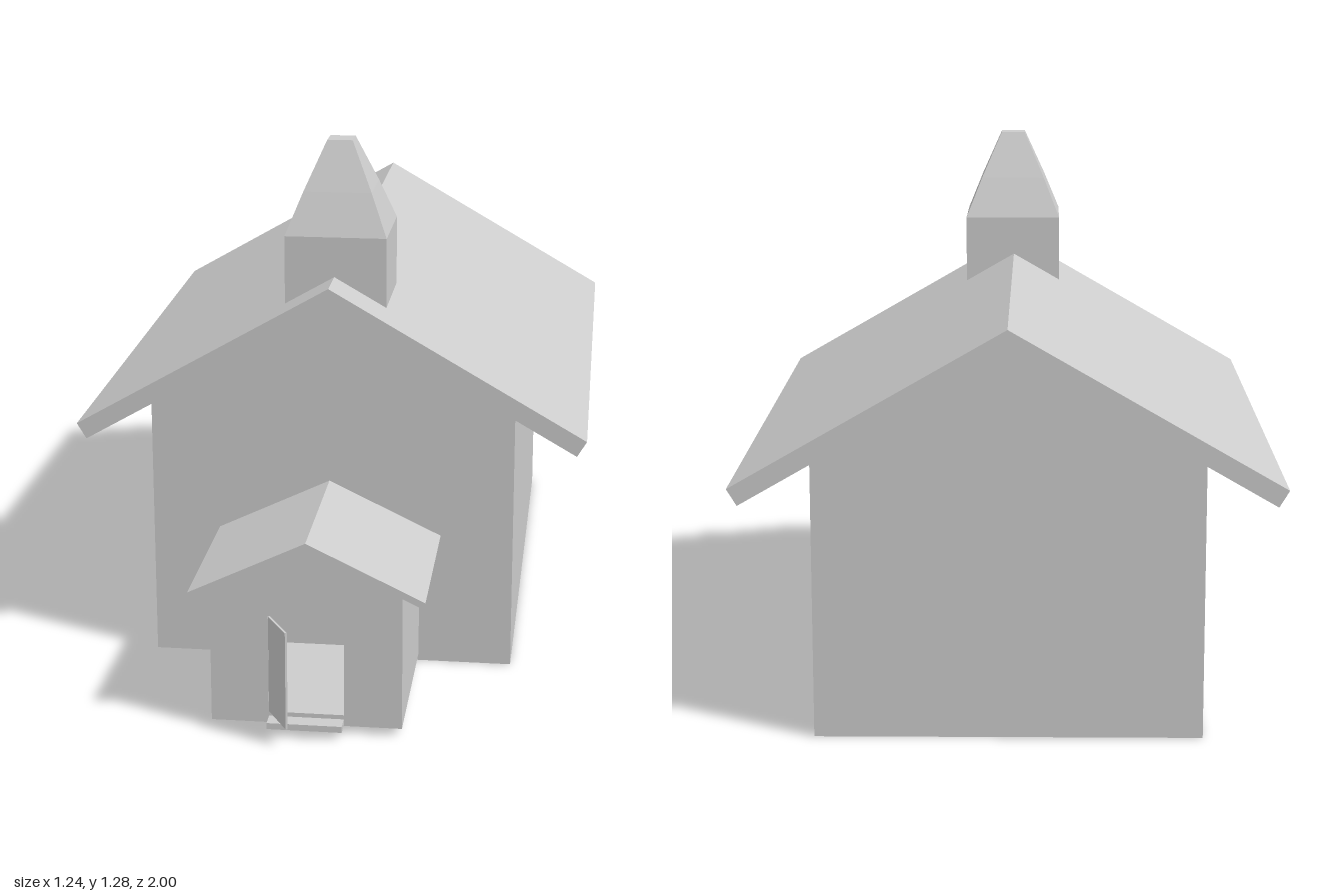
import * as THREE from 'three';

const material = new THREE.MeshStandardMaterial({ color: 0xcccccc, flatShading: true });

function add(parent, name, geometry, x = 0, y = 0, z = 0) {
  const mesh = new THREE.Mesh(geometry, material);
  mesh.name = name;
  mesh.position.set(x, y, z);
  parent.add(mesh);
  return mesh;
}

const outline = (pts) => pts.map(([x, y]) => new THREE.Vector2(x, y));

// Extrude an outline (with optional holes) from z0 to z1
function slab(points, z0, z1, holes = []) {
  const shape = new THREE.Shape(outline(points));
  holes.forEach((h) => shape.holes.push(new THREE.Path(outline(h))));
  return new THREE.ExtrudeGeometry(shape, { depth: z1 - z0, bevelEnabled: false }).translate(0, 0, z0);
}

// Five-sided gable end, symmetric about x = 0
const gable = (w, base, eave, peak) => [[-w, base], [w, base], [w, eave], [0, peak], [-w, eave]];

// Bent roof section: ridge, outer eave corner and inner eave corner
const chevron = (topPeak, [ox, oy], [ix, iy], lowPeak) => [
  [0, topPeak], [-ox, oy], [-ix, iy], [0, lowPeak], [ix, iy], [ox, oy],
];

export function createModel() {
  const model = new THREE.Group();
  model.name = 'chapel';

  // Main hall and its overhanging roof
  add(model, 'hall', slab(gable(0.446, 0, 0.659, 0.916), -0.9, 0.48));
  add(model, 'hallRoof', slab(chevron(0.967, [0.62, 0.61], [0.597, 0.572], 0.916), -1, 0.54));

  // Square bell tower with a tapering, blunt spire
  const tower = [[0, 0.84], [0.124, 0.84], [0.124, 1.065], [0.083, 1.167], [0.031, 1.285], [0, 1.285]];
  const towerProfile = outline(tower.map(([r, y]) => [r * Math.SQRT2, y]));
  add(model, 'bellTower', new THREE.LatheGeometry(towerProfile, 4, Math.PI / 4), 0.003, 0, 0.3);

  // Hollow entrance porch
  const porch = new THREE.Group();
  porch.name = 'porch';
  porch.position.x = -0.006;
  model.add(porch);
  const outer = gable(0.223, 0.018, 0.341, 0.448);
  const inner = gable(0.211, 0.03, 0.336, 0.436);
  const doorway = [[-0.088, 0.045], [0.088, 0.045], [0.088, 0.285], [-0.088, 0.285]];
  add(porch, 'porchWalls', slab(outer, 0.48, 0.898, [inner]));
  add(porch, 'porchFront', slab(outer, 0.898, 0.91, [doorway]));
  add(porch, 'porchRoof', slab(chevron(0.466, [0.275, 0.334], [0.267, 0.32], 0.448), 0.48, 0.911));
  add(porch, 'doorStep', new THREE.BoxGeometry(0.175, 0.015, 0.05), 0, 0.027, 0.925);

  // Door leaf standing open on its left-hand hinge
  const hinge = new THREE.Group();
  hinge.name = 'door';
  hinge.position.set(-0.087, 0.164, 0.905);
  hinge.rotation.y = -Math.PI / 3;
  porch.add(hinge);
  add(hinge, 'doorLeaf', new THREE.BoxGeometry(0.108, 0.238, 0.005), 0.054, 0, 0);

  return model;
}
